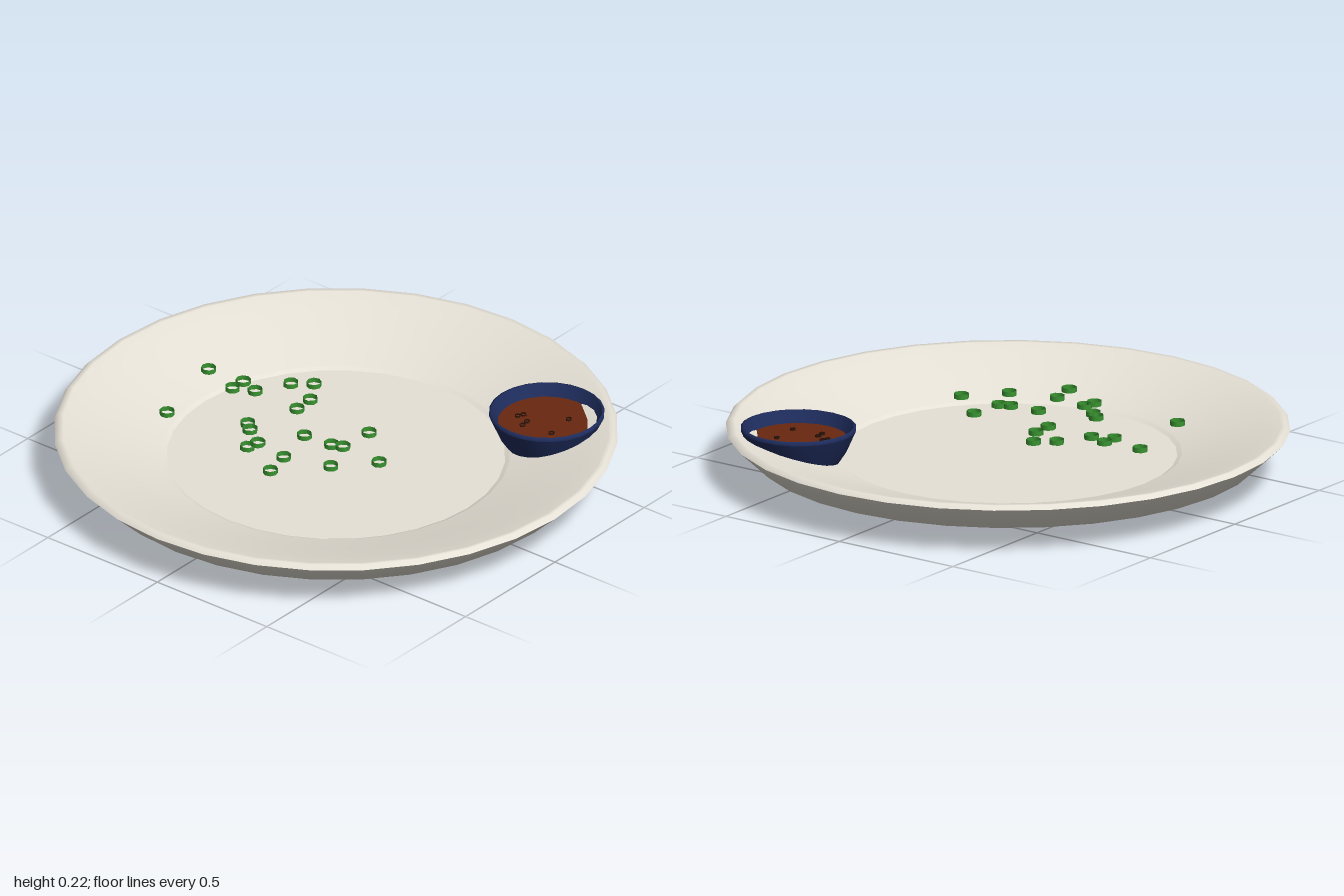
import * as THREE from 'three';

const mat = (name, color, side = THREE.FrontSide) => {
  const m = new THREE.MeshStandardMaterial({ color, side });
  m.name = name;
  return m;
};

export function createModel() {
  const model = new THREE.Group();
  model.name = 'platter';

  const ceramic = mat('warm white ceramic', 0xe6e1d6);
  const glaze = mat('navy glaze', 0x1e2c5c);
  const sauceBrown = mat('sauce brown', 0x69270f);
  const onionGreen = mat('spring onion green', 0x3a9632, THREE.DoubleSide);
  const seedDark = mat('dark seed', 0x30150a, THREE.DoubleSide);

  // Each section is smooth; separate sections meet at a sharp edge
  const turned = (name, sections, segments, material) => {
    const group = new THREE.Group();
    group.name = name;
    for (const [part, points] of Object.entries(sections)) {
      const profile = points.map(([r, y]) => new THREE.Vector2(r, y));
      const mesh = new THREE.Mesh(new THREE.LatheGeometry(profile, segments), material);
      mesh.name = part;
      group.add(mesh);
    }
    model.add(group);
    return group;
  };

  // Plate, running from the base outwards, over the rim and back to the centre
  turned('plate', {
    plateBase: [[0, 0], [0.6, 0]],
    plateUnderside: [[0.6, 0], [0.62, 0.04], [0.9, 0.08], [1, 0.175]],
    plateRim: [[1, 0.175], [0.985, 0.19], [0.97, 0.188]],
    plateSlope: [[0.97, 0.188], [0.9, 0.171], [0.76, 0.126], [0.617, 0.083]],
    plateStep: [[0.617, 0.083], [0.6, 0.075]],
    plateFloor: [[0.6, 0.075], [0, 0.075]],
  }, 32, ceramic);

  // Dipping bowl
  const bowl = turned('dippingBowl', {
    bowlBase: [[0, 0.075], [0.14, 0.075]],
    bowlOutside: [[0.14, 0.075], [0.17, 0.12], [0.205, 0.2]],
    bowlRim: [[0.205, 0.2], [0.205, 0.21], [0.197, 0.213]],
    bowlInside: [[0.197, 0.213], [0.172, 0.165], [0.13, 0.1], [0, 0.095]],
  }, 24, glaze);
  bowl.position.set(0.53, 0, 0.53);

  // Sauce surface
  const sauce = new THREE.Mesh(new THREE.CircleGeometry(0.174, 24), sauceBrown);
  sauce.name = 'sauce';
  sauce.rotation.x = -Math.PI / 2;
  sauce.position.set(0.53, 0.169, 0.53);
  model.add(sauce);

  // Small open rings scattered at given x, z spots
  const scatter = (name, spots, radius, height, sides, y, material) => {
    const group = new THREE.Group();
    group.name = name + 's';
    const geometry = new THREE.CylinderGeometry(radius, radius, height, sides, 1, true);
    spots.forEach(([x, z], i) => {
      const ring = new THREE.Mesh(geometry, material);
      ring.name = name;
      ring.position.set(x, y, z);
      ring.rotation.y = i * 1.3;
      group.add(ring);
    });
    model.add(group);
  };

  scatter('seed', [
    [0.49, 0.43], [0.51, 0.44], [0.45, 0.485], [0.48, 0.48], [0.47, 0.6], [0.585, 0.585],
  ], 0.011, 0.008, 6, 0.172, seedDark);

  scatter('onionRing', [
    [0.01, -0.59], [-0.32, -0.51], [-0.04, -0.44], [0.02, -0.44], [-0.005, -0.365],
    [0.115, -0.3], [0.165, -0.235], [-0.2, -0.24], [-0.23, -0.205], [-0.01, -0.17],
    [0.07, -0.175], [-0.33, -0.135], [-0.285, -0.125], [-0.14, -0.03], [-0.305, 0.01],
    [-0.41, 0.035], [-0.13, 0.085], [-0.115, 0.125], [0.02, 0.135], [-0.25, 0.18],
    [-0.12, 0.295],
  ], 0.027, 0.018, 8, 0.206, onionGreen);

  return model;
}
